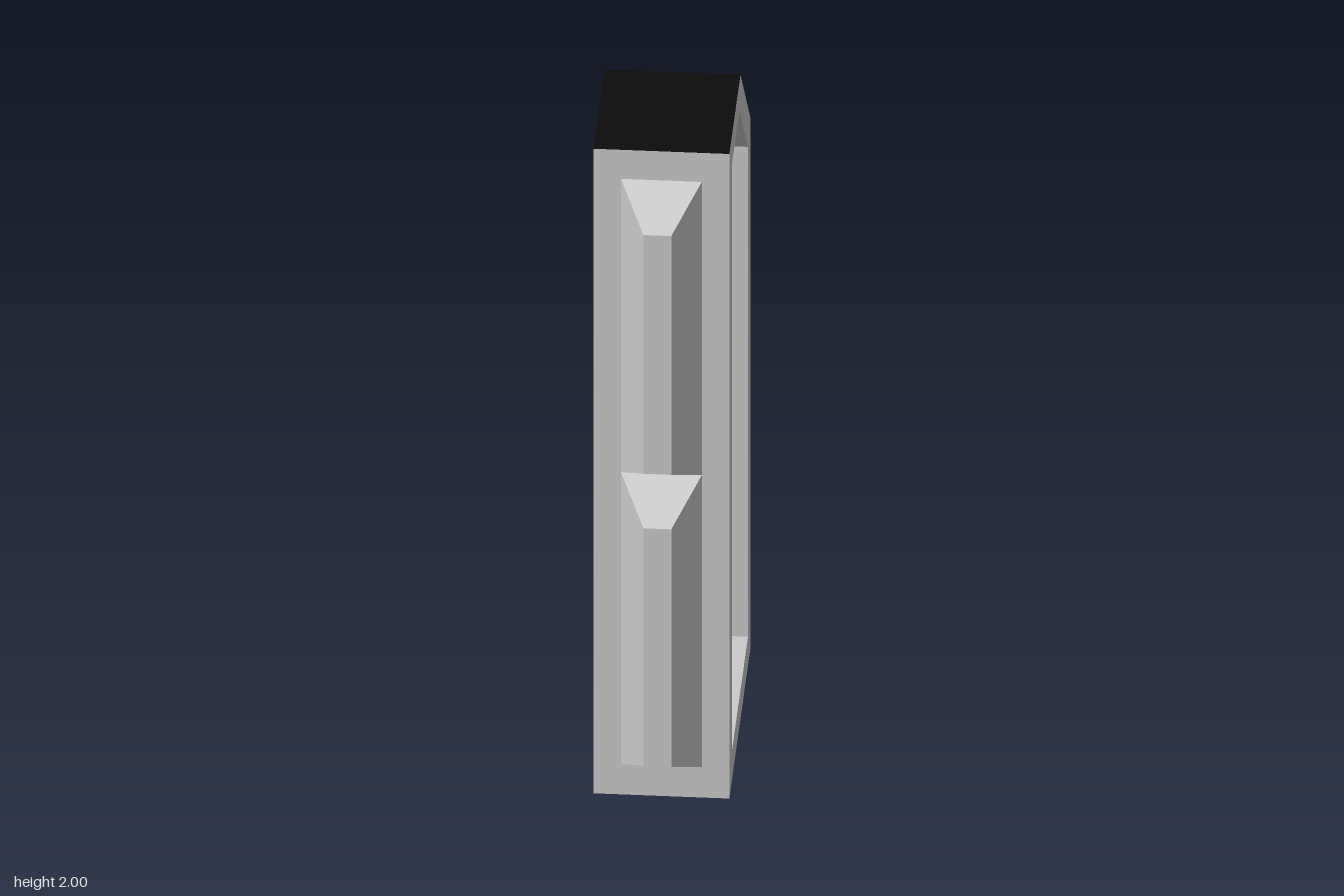
import * as THREE from 'three';

const grey = new THREE.MeshStandardMaterial({ color: 0xcccccc, flatShading: true });
const dark = new THREE.MeshStandardMaterial({ color: 0x0c0c0c, flatShading: true });

const HALF = 0.18, PANEL = 0.09, POCKET = 0.055;

// Side profiles as [z, y], counter-clockwise seen from +x
const outline = [[0.31, 0], [-0.455, 0], [-0.455, 1.64], [-0.09, 2], [0.31, 2]];
const inset = [[0.22, 0.09], [-0.36, 0.09], [-0.36, 1.61], [-0.055, 1.91], [0.22, 1.91]];
const lowerOuter = [[0.14, 0.18], [-0.28, 0.18], [-0.28, 0.76], [0.14, 0.885]];
const lowerInner = [[0.12, 0.185], [-0.262, 0.185], [-0.262, 0.75], [0.12, 0.862]];
const upperWindow = [[0.05, 1.13], [-0.19, 1.12], [-0.19, 1.535], [0.05, 1.528]];

const at = (loop, x) => loop.map(([z, y]) => [x, y, z]);

function add(group, name, geometry, material = grey) {
  const mesh = new THREE.Mesh(geometry, material);
  mesh.name = name;
  group.add(mesh);
}

// Quads joining two matching loops of 3D points
function strip(a, b, closed = true) {
  const pos = [];
  const n = a.length;
  for (let i = 0; i < (closed ? n : n - 1); i++) {
    const j = (i + 1) % n;
    pos.push(...a[i], ...a[j], ...b[j], ...a[i], ...b[j], ...b[i]);
  }
  const g = new THREE.BufferGeometry();
  g.setAttribute('position', new THREE.Float32BufferAttribute(pos, 3));
  g.computeVertexNormals();
  return g;
}

// Flat face on one side (s = 1 or -1), with optional holes
function face(s, x, loop, holes = []) {
  const pts = (l) => l.map(([z, y]) => new THREE.Vector2(-s * z, y));
  const shape = new THREE.Shape(pts(loop));
  for (const h of holes) shape.holes.push(new THREE.Path(pts(h)));
  return new THREE.ShapeGeometry(shape).rotateY(s * Math.PI / 2).translate(s * x, 0, 0);
}

// Inward-facing wall of a recess
function wall(s, outer, xOuter, inner, xInner) {
  const a = at(outer, s * xOuter), b = at(inner, s * xInner);
  return s > 0 ? strip(a, b) : strip(b, a);
}

function createSide(s) {
  const side = new THREE.Group();
  side.name = s > 0 ? 'leftSide' : 'rightSide';
  add(side, 'rim', face(s, HALF, outline, [inset]));
  add(side, 'rimWall', wall(s, inset, HALF, inset, PANEL));
  add(side, 'panel', face(s, PANEL, inset, [lowerOuter, upperWindow]));
  add(side, 'lowerPocketWall', wall(s, lowerOuter, PANEL, lowerInner, POCKET));
  add(side, 'lowerPocketFloor', face(s, POCKET, lowerInner));
  add(side, 'upperPocketWall', wall(s, upperWindow, PANEL, upperWindow, POCKET));
  add(side, 'upperPocketFloor', face(s, POCKET, upperWindow));
  return side;
}

// Tapered block standing out from the front
function createBlock(name, y0, y1, t0, t1) {
  const block = new THREE.Group();
  block.name = name;
  const rect = (w, a, b, z) => [[-w, a, z], [w, a, z], [w, b, z], [-w, b, z]];
  add(block, 'slopes', strip(rect(0.107, y0, y1, 0.31), rect(0.037, t0, t1, 0.455)));
  add(block, 'frontFace',
    new THREE.PlaneGeometry(0.074, t1 - t0).translate(0, (t0 + t1) / 2, 0.455));
  return block;
}

export function createModel() {
  const model = new THREE.Group();
  model.name = 'panelledSlab';
  // Bottom, back, slanted corner and top
  add(model, 'outerShell', strip(at(outline, -HALF), at(outline, HALF), false), dark);
  add(model, 'frontFace', new THREE.PlaneGeometry(2 * HALF, 2).translate(0, 1, 0.31));
  for (const s of [1, -1]) model.add(createSide(s));
  model.add(createBlock('lowerBlock', 0.095, 1.0, 0.18, 0.918));
  model.add(createBlock('upperBlock', 1.0, 1.91, 1.087, 1.828));
  return model;
}
